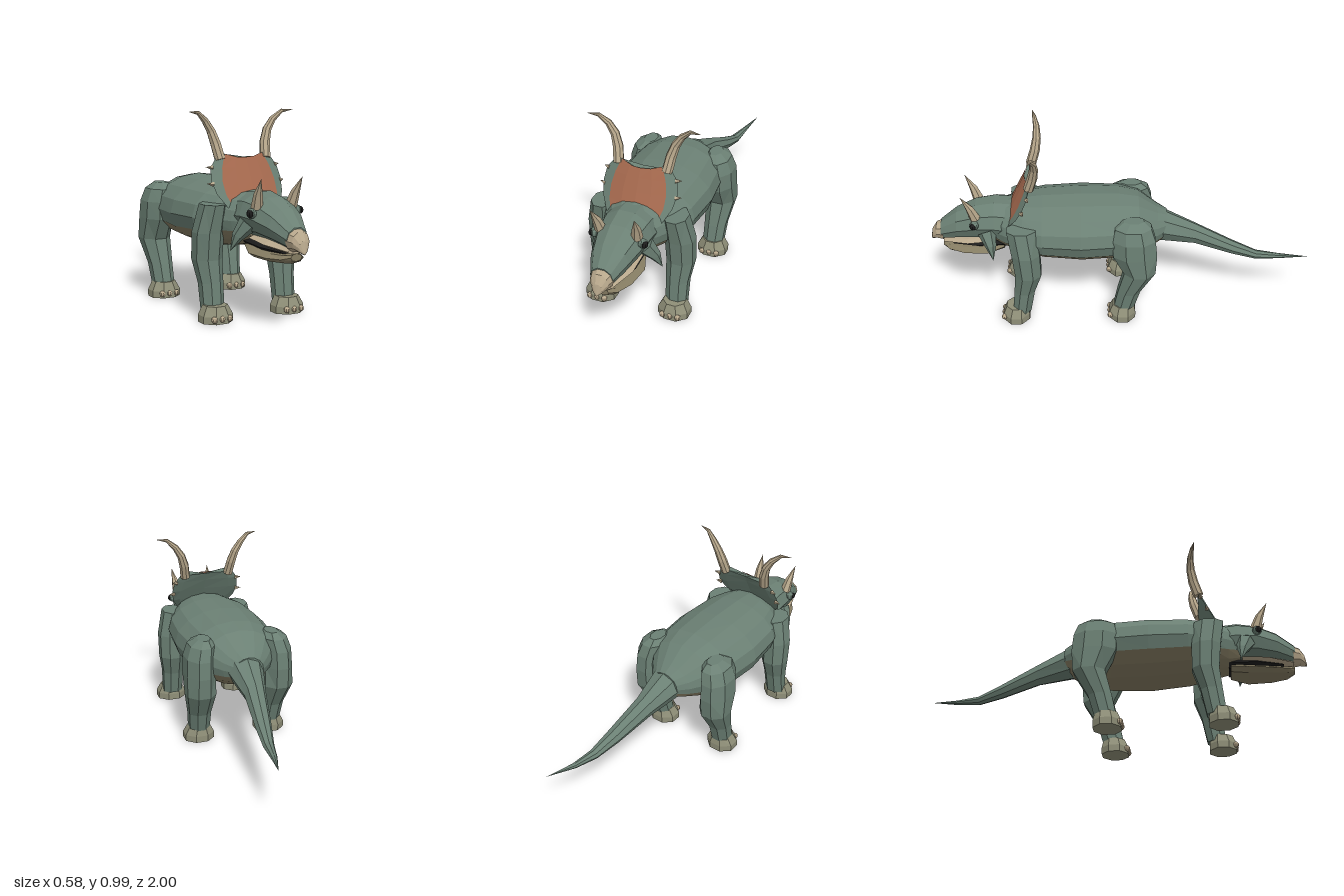
import * as THREE from 'three';

const GREEN = 0x6b8074, BELLY = 0x857c62, HORN = 0xb8a88c, CLAY = 0xa5694e, FOOT = 0x8f8f78, DARK = 0x1c1c1c;
const V = (x, y, z) => new THREE.Vector3(x, y, z);

// Flat-shaded surface through rows of points
function skin(name, rows, color) {
  const pos = [];
  const tri = (a, b, c) => {
    const area = b.clone().sub(a).cross(c.clone().sub(a)).length();
    if (area > 1e-9) for (const p of [a, b, c]) pos.push(p.x, p.y, p.z);
  };
  for (let i = 0; i + 1 < rows.length; i++)
    for (let j = 0; j + 1 < rows[i].length; j++) {
      tri(rows[i][j], rows[i][j + 1], rows[i + 1][j + 1]);
      tri(rows[i][j], rows[i + 1][j + 1], rows[i + 1][j]);
    }
  const geo = new THREE.BufferGeometry();
  geo.setAttribute('position', new THREE.Float32BufferAttribute(pos, 3));
  geo.computeVertexNormals();
  const mesh = new THREE.Mesh(geo, new THREE.MeshStandardMaterial({ color, flatShading: true }));
  mesh.name = name;
  return mesh;
}

// Capped loft over sections [x, y, z, r1, r2]; axis 'z', 'y' or 'path' (follows the centres)
function loft(name, sections, color, { axis = 'z', n = 8, from = 0, to = Math.PI * 2, turn = 0 } = {}) {
  const centres = sections.map(s => V(s[0], s[1], s[2]));
  const ring = (i, k) => {
    let u = V(1, 0, 0), v = axis === 'y' ? V(0, 0, -1) : V(0, 1, 0);
    if (axis === 'path') {
      const t = centres[Math.min(i + 1, centres.length - 1)].clone().sub(centres[Math.max(i - 1, 0)]).normalize();
      u = V(0, 0, 1).addScaledVector(t, -t.z).normalize();
      v = t.clone().cross(u);
    }
    const [, , , r1, r2 = r1] = sections[i];
    return Array.from({ length: n + 1 }, (_, j) => {
      const a = turn + from + (to - from) * j / n;
      return centres[i].clone().addScaledVector(u, Math.cos(a) * r1 * k).addScaledVector(v, Math.sin(a) * r2 * k);
    });
  };
  const last = sections.length - 1;
  return skin(name, [ring(0, 0), ...sections.map((_, i) => ring(i, 1)), ring(last, 0)], color);
}

function ball(name, x, y, z, r, color) {
  const mesh = new THREE.Mesh(new THREE.SphereGeometry(r, 8, 6),
    new THREE.MeshStandardMaterial({ color, flatShading: true }));
  mesh.position.set(x, y, z);
  mesh.name = name;
  return mesh;
}

// Frill: domed plate leaning back, clay centre with a green rim and a green back
function frill() {
  const g = new THREE.Group();
  g.name = 'frill';
  // y, half width of the centre, half width of the rim
  const rows = [[0.54, 0.12, 0.145], [0.6, 0.14, 0.18], [0.66, 0.143, 0.192], [0.72, 0.13, 0.183],
    [0.765, 0.112, 0.15], [0.785, 0.1, 0.112]];
  const point = (i, x, depth) => {
    const top = i === rows.length - 1;
    const y = rows[i][0] - (top ? 0.03 * (1 - Math.abs(x) / rows[i][2]) : 0);
    return V(x, y, 0.6 - (y - 0.54) * 0.5 - x * x * 1.2 - (top ? 0 : depth));
  };
  const panel = (name, color, cols) => g.add(skin(name,
    rows.map(([, a, b], i) => cols(a, b).map(([x, d = 0]) => point(i, x, d))), color));
  panel('frillCentre', CLAY, a => [[-a], [-a / 2], [0], [a / 2], [a]]);
  panel('frillRimLeft', GREEN, (a, b) => [[a], [b]]);
  panel('frillRimRight', GREEN, (a, b) => [[-b], [-a]]);
  panel('frillBack', GREEN, (a, b) => [[b], [a, 0.02], [0, 0.03], [-a, 0.02], [-b]]);
  return g;
}

// Leg with a spreading foot and three toenails
function leg(name, sections, footZ) {
  const g = new THREE.Group();
  g.name = name;
  g.add(loft(name + 'Limb', sections, GREEN, { axis: 'y', n: 8, turn: Math.PI / 8 }));
  g.add(loft(name + 'Foot', [[0.2, 0, footZ, 0.085, 0.075], [0.2, 0.035, footZ, 0.085, 0.075],
    [0.2, 0.08, footZ - 0.005, 0.06, 0.06]], FOOT, { axis: 'y', n: 8, turn: Math.PI / 8 }));
  for (const dx of [-0.04, 0, 0.04]) g.add(ball('toenail', 0.2 + dx, 0.024, footZ + 0.065, 0.016, HORN));
  return g;
}

// Everything that exists once per side, built on the left
function sideParts() {
  const g = new THREE.Group();
  g.add(leg('frontLeg', [[0.2, 0.05, 0.525, 0.058, 0.052], [0.2, 0.18, 0.505, 0.062, 0.058],
    [0.207, 0.29, 0.48, 0.075, 0.073], [0.205, 0.42, 0.487, 0.078, 0.078],
    [0.19, 0.555, 0.505, 0.062, 0.08]], 0.555));
  g.add(leg('rearLeg', [[0.2, 0.05, -0.015, 0.058, 0.058], [0.205, 0.17, -0.045, 0.064, 0.064],
    [0.213, 0.3, -0.1, 0.083, 0.088], [0.213, 0.41, -0.075, 0.082, 0.122],
    [0.21, 0.5, -0.07, 0.08, 0.118], [0.195, 0.565, -0.065, 0.072, 0.1],
    [0.185, 0.595, -0.07, 0.035, 0.055]], -0.01));
  const spike = (name, path, color, n = 6) => g.add(loft(name, path, color, { axis: 'path', n }));
  spike('frillHorn', [[0.125, 0.755, 0.46, 0.027], [0.137, 0.83, 0.436, 0.026], [0.156, 0.89, 0.425, 0.022],
    [0.188, 0.94, 0.425, 0.017], [0.232, 0.979, 0.437, 0.01], [0.29, 0.985, 0.45, 0]], HORN, 8);
  spike('browHorn', [[0.092, 0.56, 0.745, 0.029], [0.1, 0.625, 0.768, 0.021], [0.11, 0.7, 0.81, 0]], HORN);
  spike('cheekSpike', [[0.105, 0.48, 0.69, 0.048], [0.15, 0.42, 0.67, 0.028], [0.182, 0.355, 0.66, 0]], GREEN);
  for (const [x, y, z] of [[0.18, 0.645, 0.5], [0.17, 0.72, 0.47]])
    spike('frillSpike', [[x, y, z, 0.013], [x + 0.033, y + 0.003, z - 0.01, 0]], HORN, 5);
  g.add(ball('eyelid', 0.123, 0.537, 0.75, 0.024, GREEN));
  g.add(ball('eye', 0.132, 0.537, 0.755, 0.019, DARK));
  return g;
}

export function createModel() {
  const model = new THREE.Group();

  // Barrel body: green back over a tan belly
  const body = [[0, 0.46, -0.25, 0.08, 0.07], [0, 0.46, -0.2, 0.125, 0.095], [0, 0.473, -0.1, 0.205, 0.15],
    [0, 0.475, 0, 0.245, 0.165], [0, 0.475, 0.2, 0.262, 0.17], [0, 0.48, 0.4, 0.245, 0.158],
    [0, 0.485, 0.5, 0.205, 0.143], [0, 0.485, 0.6, 0.145, 0.125], [0, 0.485, 0.66, 0.1, 0.1]];
  const split = 0.42;
  model.add(loft('back', body, GREEN, { n: 10, from: -split, to: Math.PI + split }));
  model.add(loft('belly', body, BELLY, { n: 6, from: Math.PI + split, to: 2 * Math.PI - split }));

  // Tail, sweeping down and to its left
  model.add(loft('tail', [[0.13, 0.31, -1, 0, 0], [0.092, 0.29, -0.85, 0.016, 0.012],
    [0.073, 0.288, -0.73, 0.028, 0.023], [0.052, 0.327, -0.6, 0.042, 0.037], [0.02, 0.4, -0.4, 0.057, 0.057],
    [0.005, 0.46, -0.2, 0.1, 0.09], [0, 0.47, -0.1, 0.13, 0.11]], GREEN));

  // Head with beak, lips and open mouth
  model.add(loft('head', [[0, 0.5, 0.55, 0.135, 0.115], [0, 0.513, 0.65, 0.132, 0.112],
    [0, 0.508, 0.75, 0.122, 0.1], [0, 0.482, 0.85, 0.096, 0.082], [0, 0.44, 0.94, 0.057, 0.054]], GREEN, { n: 10 }));
  model.add(loft('beak', [[0, 0.436, 0.93, 0.06, 0.056], [0, 0.432, 0.965, 0.047, 0.046],
    [0, 0.41, 0.99, 0.025, 0.03], [0, 0.385, 1, 0.004, 0.006]], HORN, { n: 10 }));
  model.add(loft('upperLip', [[0, 0.41, 0.67, 0.09, 0.016], [0, 0.4, 0.8, 0.092, 0.018],
    [0, 0.385, 0.93, 0.045, 0.014]], HORN));
  model.add(loft('mouth', [[0, 0.385, 0.6, 0.08, 0.035], [0, 0.38, 0.75, 0.084, 0.025],
    [0, 0.375, 0.88, 0.05, 0.012]], DARK));
  model.add(loft('lowerJaw', [[0, 0.365, 0.61, 0.075, 0.03], [0, 0.345, 0.7, 0.108, 0.03],
    [0, 0.342, 0.82, 0.094, 0.026], [0, 0.346, 0.9, 0.062, 0.024], [0, 0.357, 0.935, 0.03, 0.018]], BELLY));

  model.add(frill());

  // Paired parts, mirrored
  const left = sideParts(), right = left.clone();
  left.name = 'leftSide';
  right.name = 'rightSide';
  right.scale.x = -1;
  model.add(left, right);
  return model;
}
